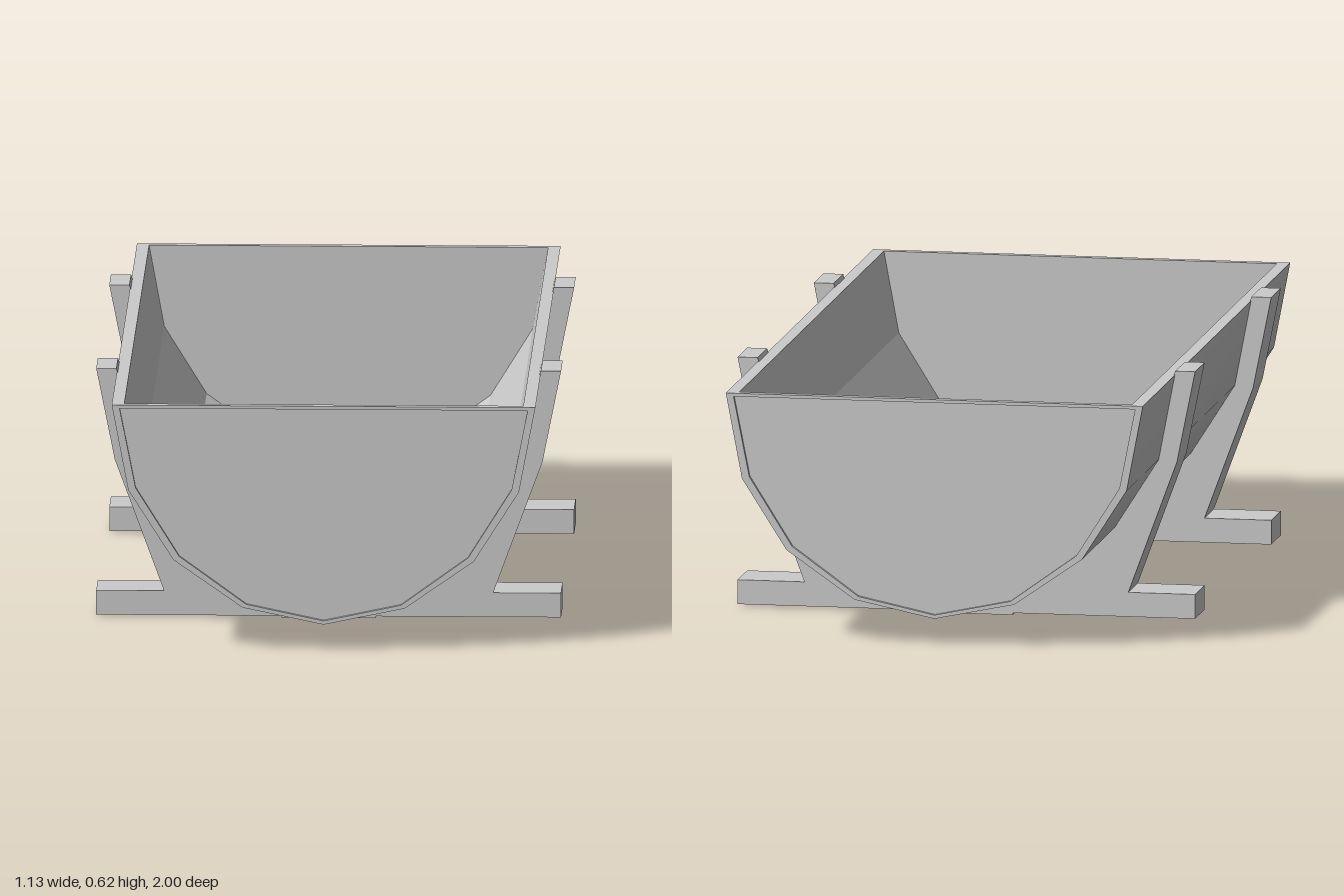
import * as THREE from 'three';

// Right half of each trough cross-section, rim to keel
const OUTER = [[0.515, 0.605], [0.475, 0.395], [0.365, 0.222], [0.197, 0.105], [0, 0.064]];
const RECESS = [[0.496, 0.597], [0.457, 0.4], [0.351, 0.231], [0.188, 0.113], [0, 0.073]];
const INNER = [[0.485, 0.605], [0.448, 0.404], [0.345, 0.238], [0.182, 0.121], [0, 0.082]];

// Mirror a half profile into a full one, from +x rim round to -x rim
const full = (half) => [...half, ...half.slice(0, -1).reverse().map(([x, y]) => [-x, y])];
const shapeOf = (pts) => new THREE.Shape(pts.map(([x, y]) => new THREE.Vector2(x, y)));

// Sweep a profile along z; it faces the inside if z0 < z1, the outside if z0 > z1
function strip(pts, z0, z1, smooth) {
  const pos = [], idx = [];
  pts.forEach(([x, y], i) => {
    pos.push(x, y, z0, x, y, z1);
    const a = i * 2;
    if (i < pts.length - 1) idx.push(a, a + 2, a + 1, a + 1, a + 2, a + 3);
  });
  let g = new THREE.BufferGeometry();
  g.setAttribute('position', new THREE.Float32BufferAttribute(pos, 3));
  g.setIndex(idx);
  if (!smooth) g = g.toNonIndexed();
  g.computeVertexNormals();
  return g;
}

export function createModel() {
  const model = new THREE.Group();
  const mat = new THREE.MeshStandardMaterial({ color: 0xcccccc });
  const add = (parent, name, geometry) => {
    const mesh = new THREE.Mesh(geometry, mat);
    mesh.name = name;
    parent.add(mesh);
    return mesh;
  };

  // Trough: smooth outer skin, faceted inner skin
  const trough = new THREE.Group();
  trough.name = 'trough';
  model.add(trough);
  add(trough, 'outerSkin', strip(full(OUTER), 1, -1, true));
  add(trough, 'innerSkin', strip(full(INNER), -0.98, 0.98, false));

  // Flat rim round the opening
  const rim = shapeOf([[-0.515, -1], [0.515, -1], [0.515, 1], [-0.515, 1]]);
  rim.holes.push(shapeOf([[-0.485, -0.98], [0.485, -0.98], [0.485, 0.98], [-0.485, 0.98]]));
  add(trough, 'topRim', new THREE.ShapeGeometry(rim).rotateX(-Math.PI / 2).translate(0, 0.605, 0));

  // Ends: thin border, shallow recess, panel and inner wall
  const border = shapeOf(full(OUTER));
  border.holes.push(shapeOf(full(RECESS)));
  const recessLoop = [...full(RECESS), RECESS[0]];
  for (const [name, turn] of [['frontEnd', 0], ['backEnd', Math.PI]]) {
    const end = new THREE.Group();
    end.name = name;
    end.rotation.y = turn;
    trough.add(end);
    add(end, 'endBorder', new THREE.ShapeGeometry(border).translate(0, 0, 1));
    add(end, 'recessEdge', strip(recessLoop, 0.99, 1, false));
    add(end, 'endPanel', new THREE.ShapeGeometry(shapeOf(full(RECESS))).translate(0, 0, 0.99));
    add(end, 'innerEndWall', new THREE.ShapeGeometry(shapeOf(full(INNER))).rotateY(Math.PI).translate(0, 0, 0.98));
  }

  // Cradles: foot beam and two arms in one outline, hugging the trough
  const cradle = shapeOf([
    [-0.565, 0.005], [-0.115, 0.005], [-0.115, 0], [0.115, 0], [0.115, 0.005], [0.565, 0.005],
    [0.565, 0.065], [0.4, 0.065], [0.52, 0.39], [0.565, 0.615], [0.516, 0.615],
    ...full([[0.511, 0.6], [0.471, 0.397], [0.361, 0.225], [0.195, 0.109], [0, 0.068]]),
    [-0.516, 0.615], [-0.565, 0.615], [-0.52, 0.39], [-0.4, 0.065], [-0.565, 0.065],
  ]);
  for (const [name, z] of [['frontCradle', 0.468], ['backCradle', -0.565]]) {
    const geometry = new THREE.ExtrudeGeometry(cradle, { depth: 0.13, bevelEnabled: false });
    add(model, name, geometry).position.z = z;
  }
  return model;
}
